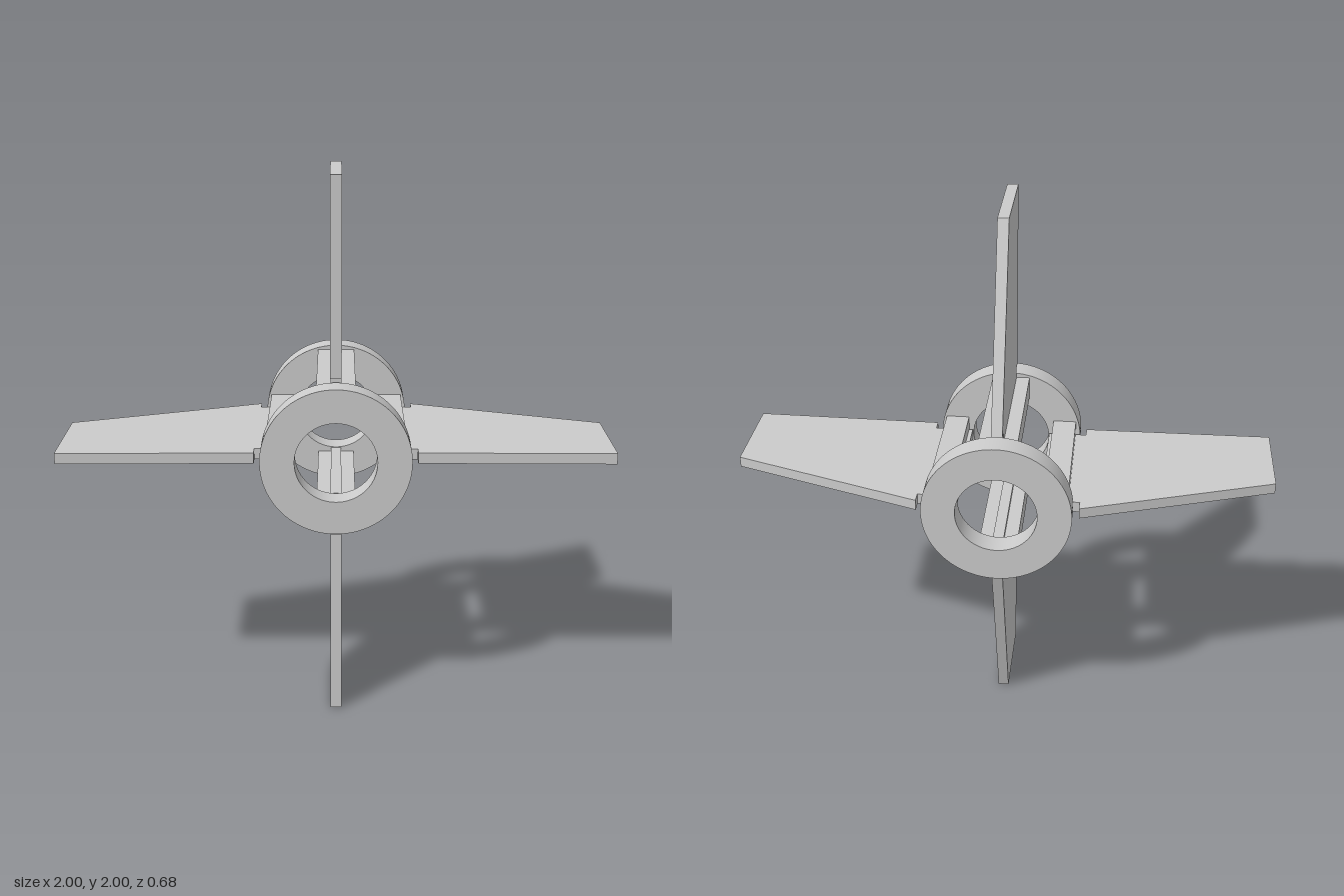
import * as THREE from 'three';

const material = new THREE.MeshStandardMaterial({ color: 0xcccccc });
const OUTER = 0.27, INNER = 0.147; // ring radii
const RING_NEAR = 0.253, RING_FAR = 0.34; // ring extent along z
const FIN_THICKNESS = 0.04;

// Ring with sharp rims and smooth round walls
function ringGeometry() {
  const shape = new THREE.Shape().absarc(0, 0, OUTER, 0, Math.PI * 2, false);
  shape.holes.push(new THREE.Path().absarc(0, 0, INNER, 0, Math.PI * 2, true));
  const geometry = new THREE.ExtrudeGeometry(shape, {
    depth: RING_FAR - RING_NEAR, bevelEnabled: false, curveSegments: 64,
  });
  // Smooth the walls with radial normals; caps stay flat
  const p = geometry.attributes.position, n = geometry.attributes.normal;
  for (let i = 0; i < p.count; i++) {
    if (Math.abs(n.getZ(i)) > 0.5) continue;
    const r = Math.hypot(p.getX(i), p.getY(i));
    const sign = r > (OUTER + INNER) / 2 ? 1 : -1;
    n.setXYZ(i, sign * p.getX(i) / r, sign * p.getY(i) / r, 0);
  }
  return geometry;
}

// Tapered blade with a narrower root tongue; outline is (z, radius)
function finGeometry() {
  const outline = [
    [0.242, 0.15], [0.242, 0.293], [0.287, 0.293], [0.294, 1],
    [-0.056, 1], [-0.296, 0.293], [-0.253, 0.293], [-0.253, 0.15],
  ].map(([z, r]) => new THREE.Vector2(-z, r));
  const geometry = new THREE.ExtrudeGeometry(new THREE.Shape(outline), {
    depth: FIN_THICKNESS, bevelEnabled: false,
  });
  geometry.translate(0, 0, -FIN_THICKNESS / 2);
  geometry.rotateY(Math.PI / 2); // shape x becomes -z
  return geometry;
}

export function createModel() {
  const model = new THREE.Group();
  model.name = 'finAssembly';
  const add = (name, geometry, parent) => {
    const mesh = new THREE.Mesh(geometry, material);
    mesh.name = name;
    parent.add(mesh);
    return mesh;
  };

  // End rings
  const ring = ringGeometry();
  add('frontRing', ring, model).position.set(0, 1, RING_NEAR);
  add('backRing', ring, model).position.set(0, 1, -RING_FAR);

  // Four fins, each carried on a bar joining the rings
  const fin = finGeometry();
  const bar = new THREE.BoxGeometry(0.14, 0.087, RING_NEAR * 2).translate(0, 0.2085, 0);
  ['top', 'right', 'bottom', 'left'].forEach((side, i) => {
    const arm = new THREE.Group();
    arm.name = side + 'Arm';
    arm.position.y = 1;
    arm.rotation.z = i * Math.PI / 2;
    add(side + 'Fin', fin, arm);
    add(side + 'Bar', bar, arm);
    model.add(arm);
  });
  return model;
}
